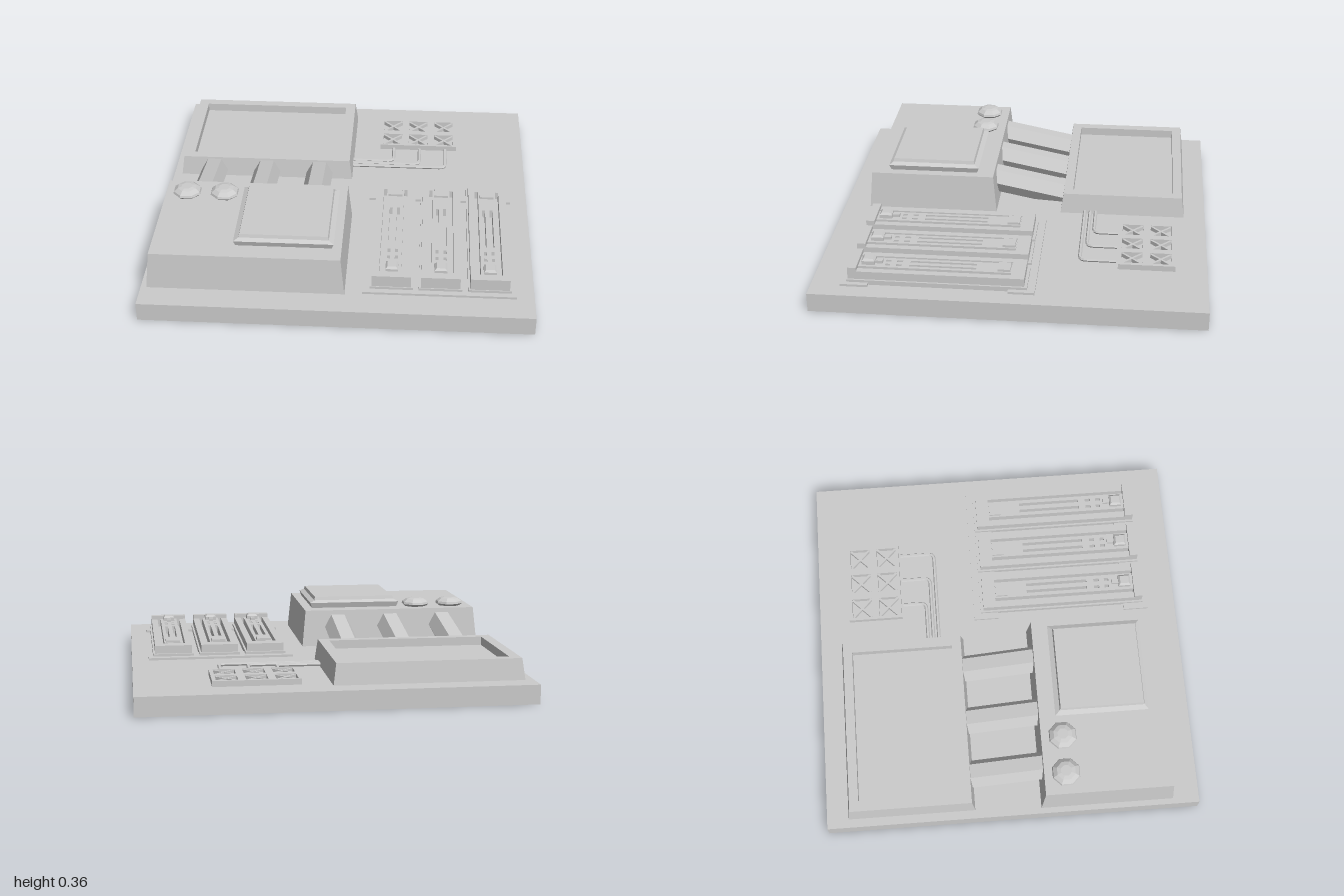
import * as THREE from 'three';

const grey = new THREE.MeshStandardMaterial({ color: 0xcccccc, flatShading: true });

function add(parent, name, geometry, x = 0, y = 0, z = 0) {
  const mesh = new THREE.Mesh(geometry, grey);
  mesh.name = name;
  mesh.position.set(x, y, z);
  parent.add(mesh);
  return mesh;
}

// Box given by its limits
function block(parent, name, x0, x1, y0, y1, z0, z1) {
  return add(parent, name, new THREE.BoxGeometry(x1 - x0, y1 - y0, z1 - z0),
    (x0 + x1) / 2, (y0 + y1) / 2, (z0 + z1) / 2);
}

// Skin through rectangles [y, x0, x1, z0, z1], closed by the last one
function loft(rings) {
  const pos = [];
  const loops = rings.map(([y, x0, x1, z0, z1]) => [[x0, y, z1], [x1, y, z1], [x1, y, z0], [x0, y, z0]]);
  const quad = (a, b, c, d) => pos.push(...a, ...b, ...c, ...a, ...c, ...d);
  for (let i = 0; i + 1 < loops.length; i++) {
    for (let k = 0; k < 4; k++) {
      const n = (k + 1) % 4;
      quad(loops[i][k], loops[i][n], loops[i + 1][n], loops[i + 1][k]);
    }
  }
  quad(...loops[loops.length - 1]);
  const g = new THREE.BufferGeometry();
  g.setAttribute('position', new THREE.Float32BufferAttribute(pos, 3));
  g.computeVertexNormals();
  return g;
}

function rectPath(path, x0, x1, y0, y1) {
  path.moveTo(x0, y0);
  path.lineTo(x1, y0);
  path.lineTo(x1, y1);
  path.lineTo(x0, y1);
  path.closePath();
  return path;
}

// Flat plate in x/z with rectangular openings, from y0 to y1
function plate(parent, name, outer, holes, y0, y1) {
  const flip = ([x0, x1, z0, z1]) => [x0, x1, -z1, -z0];
  const shape = rectPath(new THREE.Shape(), ...flip(outer));
  for (const h of holes) shape.holes.push(rectPath(new THREE.Path(), ...flip(h)));
  const g = new THREE.ExtrudeGeometry(shape, { depth: y1 - y0, bevelEnabled: false });
  g.rotateX(-Math.PI / 2);
  return add(parent, name, g, 0, y0, 0);
}

function slider(cx) {
  const g = new THREE.Group();
  g.name = 'sliderUnit';
  g.position.x = cx;
  block(g, 'sliderFoot', -0.11, 0.11, 0.1, 0.125, -0.095, 0.82);
  // Trough with a raised front end
  plate(g, 'sliderHousing', [-0.1, 0.1, -0.08, 0.81], [[-0.065, 0.065, -0.01, 0.77]], 0.12, 0.168);
  block(g, 'sliderEndCap', -0.1, 0.1, 0.12, 0.188, 0.77, 0.815);
  // Slotted centre bar
  const slots = [];
  for (const s of [-1, 1]) {
    const x0 = s * 0.02 - 0.008, x1 = s * 0.02 + 0.008;
    slots.push([x0, x1, 0.17, 0.51], [x0, x1, 0.55, 0.58], [x0, x1, 0.61, 0.635]);
  }
  plate(g, 'slottedBar', [-0.047, 0.047, -0.01, 0.77], slots, 0.12, 0.17);
  block(g, 'rearTab', -0.038, 0.038, 0.165, 0.182, -0.005, 0.06);
  block(g, 'handleNeck', -0.012, 0.012, 0.165, 0.185, 0.65, 0.7);
  add(g, 'handle', loft([
    [0.165, -0.032, 0.032, 0.688, 0.755], [0.19, -0.032, 0.032, 0.688, 0.755],
    [0.2, -0.022, 0.022, 0.698, 0.745],
  ]));
  return g;
}

export function createModel() {
  const model = new THREE.Group();
  model.name = 'controlBoard';
  block(model, 'basePlate', -1, 1, 0, 0.1, -1, 1);

  // Front housing with lid and knobs
  add(model, 'frontHousing', loft([[0.1, -0.97, 0.04, 0.15, 0.86], [0.3, -0.95, 0.02, 0.17, 0.845]]));
  add(model, 'housingLid', loft([
    [0.3, -0.52, -0.03, 0.265, 0.745], [0.33, -0.53, -0.02, 0.255, 0.755],
    [0.342, -0.505, -0.045, 0.28, 0.735], [0.36, -0.5, -0.05, 0.285, 0.73],
  ]));
  const knobProfile = [[0.065, 0], [0.078, 0.012], [0.074, 0.024], [0.052, 0.041], [0.03, 0.046], [0, 0.046]]
    .map(([r, y]) => new THREE.Vector2(r, y));
  for (const x of [-0.835, -0.635]) {
    const knob = add(model, 'knob', new THREE.LatheGeometry(knobProfile, 8), x, 0.3, 0.285);
    knob.rotation.y = Math.PI / 8;
  }

  // Rear tray with a recessed top
  add(model, 'rearTray', loft([
    [0.1, -0.955, 0.02, -0.885, -0.205], [0.21, -0.94, 0.005, -0.87, -0.22],
    [0.21, -0.885, -0.05, -0.82, -0.27], [0.165, -0.885, -0.05, -0.82, -0.27],
  ]));

  // Sloping six-sided ducts between housing and tray
  for (const x of [-0.765, -0.465, -0.165]) {
    const duct = new THREE.CylinderGeometry(0.075, 0.075, 0.42, 6);
    duct.rotateY(Math.PI / 6).rotateX(Math.PI / 2);
    add(model, 'duct', duct, x, 0.172, -0.02).rotation.x = -Math.atan(0.075 / 0.38);
  }

  // Keypad: square pits crossed by diagonal bars
  const pits = [];
  for (const x of [0.24, 0.39, 0.54]) for (const z of [-0.76, -0.61]) {
    pits.push([x - 0.055, x + 0.055, z - 0.055, z + 0.055]);
    for (const s of [-1, 1]) {
      add(model, 'keypadCross', new THREE.BoxGeometry(0.148, 0.02, 0.012), x, 0.117, z)
        .rotation.y = s * Math.PI / 4;
    }
  }
  plate(model, 'keypadPlate', [0.17, 0.615, -0.835, -0.54], pits, 0.1, 0.13);

  // Cables from keypad to tray
  [0.25, 0.4, 0.55].forEach((x, i) => {
    const z = -0.4 + i * 0.03, r = 0.035;
    const v = (a, b) => new THREE.Vector3(a, 0.11, b);
    const path = new THREE.CurvePath();
    path.add(new THREE.LineCurve3(v(0, z), v(x - r, z)));
    path.add(new THREE.QuadraticBezierCurve3(v(x - r, z), v(x, z), v(x, z - r)));
    path.add(new THREE.LineCurve3(v(x, z - r), v(x, -0.53)));
    add(model, 'cable', new THREE.TubeGeometry(path, 48, 0.01, 6));
  });

  // Slider bank on two mounting strips
  block(model, 'rearStrip', 0.13, 0.91, 0.1, 0.112, -0.135, 0);
  block(model, 'frontStrip', 0.13, 0.91, 0.1, 0.112, 0.71, 0.85);
  for (const x of [0.275, 0.525, 0.775]) model.add(slider(x));
  return model;
}
